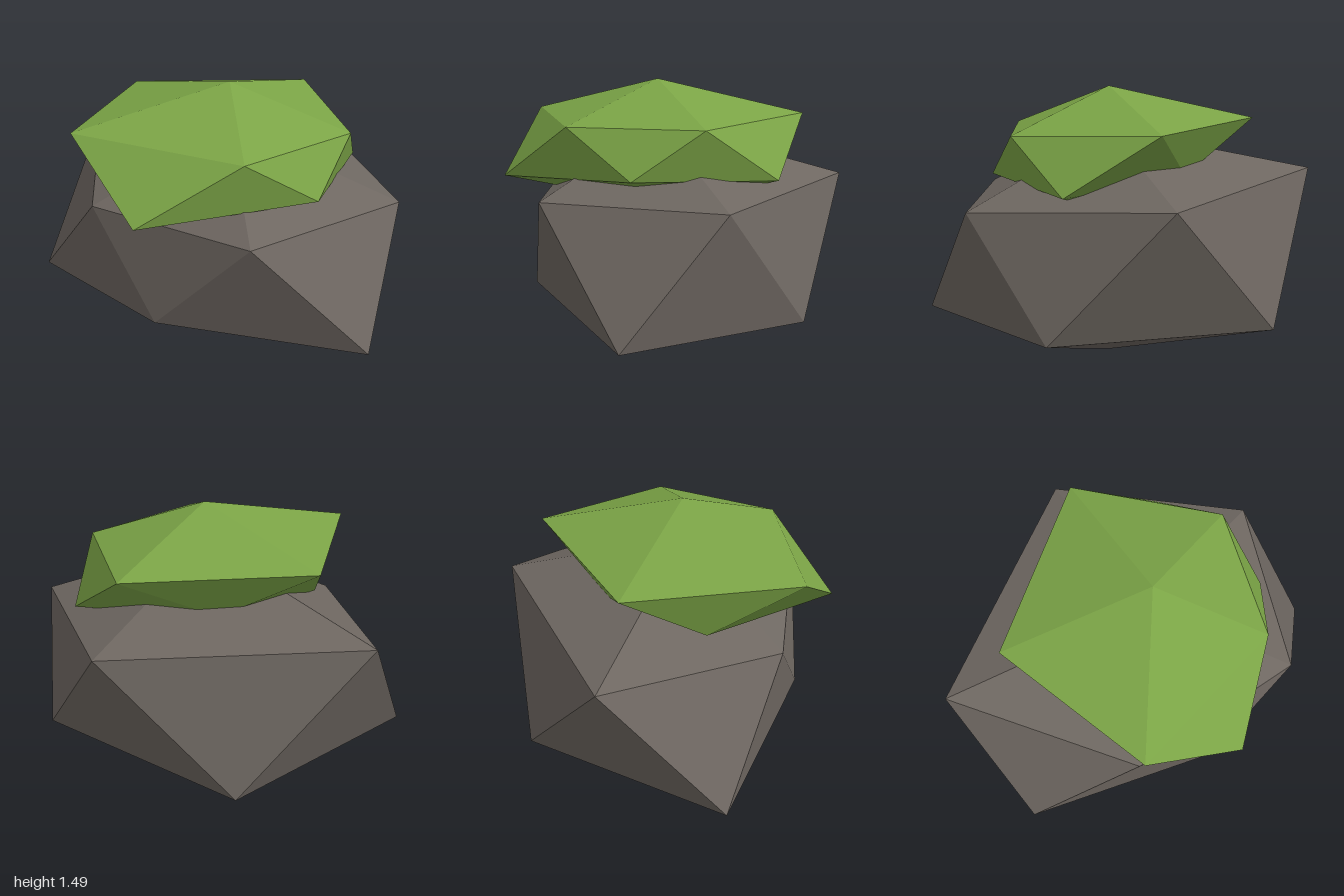
import * as THREE from 'three';

// Irregular 20-sided stone: an apex, two staggered rings of five, and a base point
function createFacetedStone(name, top, upper, lower, bottom, material) {
  const positions = [];
  const face = (a, b, c) => positions.push(...a, ...b, ...c);
  for (let i = 0; i < 5; i++) {
    const j = (i + 1) % 5;
    face(top, upper[j], upper[i]);
    face(upper[i], upper[j], lower[i]);
    face(lower[i], upper[j], lower[j]);
    face(bottom, lower[i], lower[j]);
  }
  const geometry = new THREE.BufferGeometry();
  geometry.setAttribute('position', new THREE.Float32BufferAttribute(positions, 3));
  geometry.computeVertexNormals();
  const mesh = new THREE.Mesh(geometry, material);
  mesh.name = name;
  return mesh;
}

export function createModel() {
  const stoneGrey = new THREE.MeshStandardMaterial({ color: 0x6e6761 });
  stoneGrey.name = 'stone grey';
  const mossGreen = new THREE.MeshStandardMaterial({ color: 0x7ba446 });
  mossGreen.name = 'moss green';

  const group = new THREE.Group();
  group.name = 'mossyRock';

  // Boulder
  group.add(createFacetedStone(
    'boulder',
    [0.1, 1.26, 0.07],
    [[1, 0.92, 0.07], [0.38, 0.92, 0.79], [-0.53, 0.89, 0.46], [-0.86, 1.02, -0.53], [0.45, 0.99, -0.84]],
    [[0.94, 0.31, 0.58], [-0.13, 0.39, 0.69], [-1, 0.29, 0.07], [-0.24, 0.28, -0.84], [0.87, 0.33, -0.4]],
    [0.1, 0, 0.07],
    stoneGrey,
  ));

  // Moss cap sunk into the boulder's top
  group.add(createFacetedStone(
    'mossCap',
    [0.1, 1.49, 0.07],
    [[0.73, 1.27, 0.07], [0.31, 1.27, 0.63], [-0.59, 1.31, 0.53], [-0.56, 1.31, -0.37], [0.37, 1.31, -0.65]],
    [[0.63, 1.03, 0.41], [-0.17, 0.98, 0.84], [-0.5, 1.03, 0.07], [-0.06, 1.04, -0.36], [0.71, 1.01, -0.33]],
    [0.1, 0.82, 0.07],
    mossGreen,
  ));

  return group;
}
